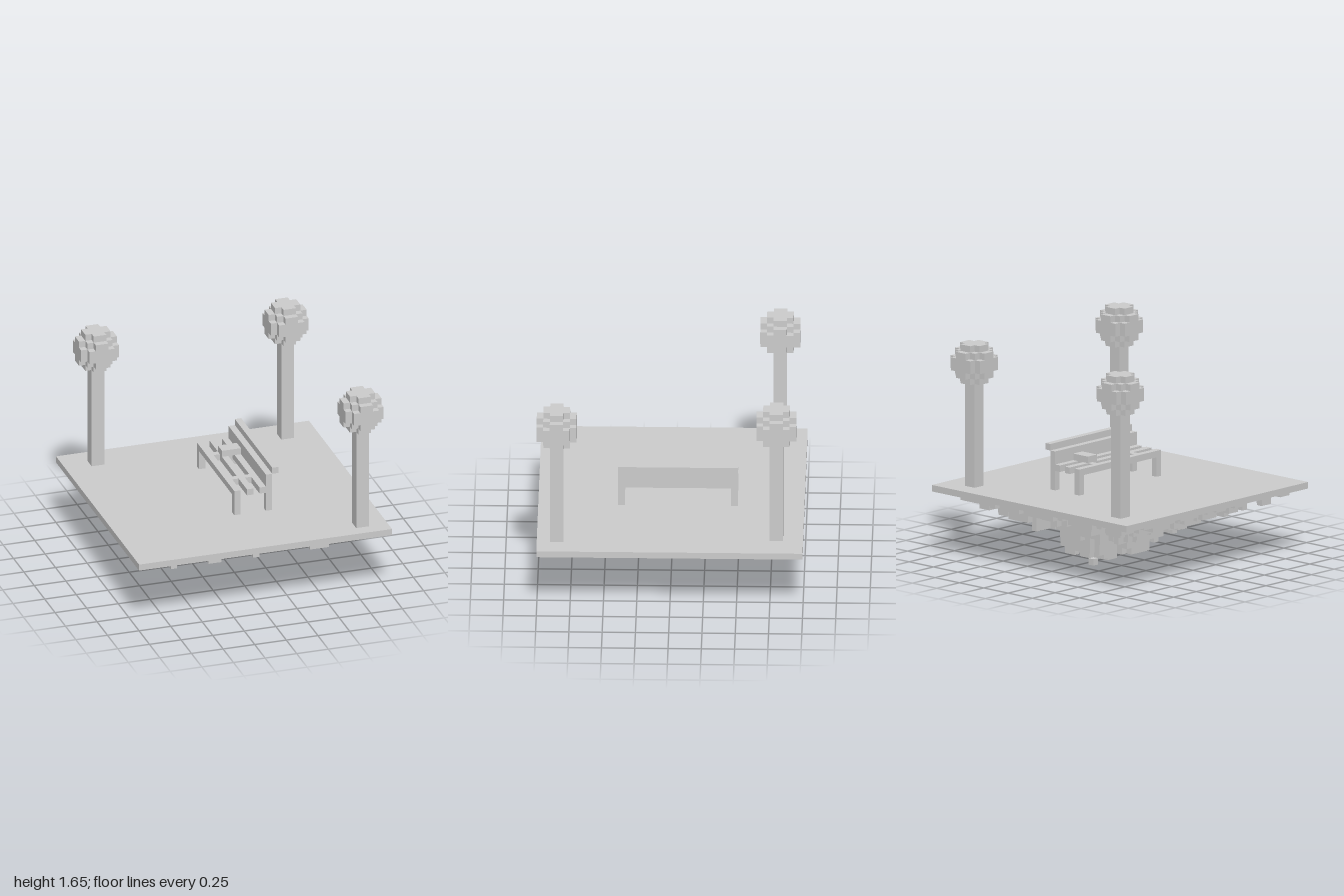
import * as THREE from 'three';

const V = 0.05; // voxel size
const stone = new THREE.MeshStandardMaterial({ color: 0xcccccc });
stone.name = 'light grey';

// Small seeded hash giving 0..1 for a grid position
function hash(a, b, c = 0) {
  let h = Math.imul(a + 101, 374761393) ^ Math.imul(b + 211, 668265263) ^ Math.imul(c + 307, 974634777);
  h = Math.imul(h ^ (h >>> 13), 1274126177);
  return ((h ^ (h >>> 16)) >>> 0) / 4294967296;
}

// Mesh of the outer faces of a set of unit cells, keyed "x,y,z"
function voxelMesh(name, cells) {
  const pos = [];
  for (const key of cells) {
    const c = key.split(',').map(Number);
    for (let axis = 0; axis < 3; axis++) {
      for (const s of [-1, 1]) {
        const next = [...c];
        next[axis] += s;
        if (cells.has(next.join(','))) continue;
        const quad = [[0, 0], [1, 0], [1, 1], [0, 1]].map(([u, v]) => {
          const p = [...c];
          p[axis] += s > 0 ? 1 : 0;
          p[(axis + 1) % 3] += u;
          p[(axis + 2) % 3] += v;
          return p.map(n => n * V);
        });
        if (s < 0) quad.reverse();
        for (const i of [0, 1, 2, 0, 2, 3]) pos.push(...quad[i]);
      }
    }
  }
  const geo = new THREE.BufferGeometry();
  geo.setAttribute('position', new THREE.Float32BufferAttribute(pos, 3));
  geo.computeVertexNormals();
  const mesh = new THREE.Mesh(geo, stone);
  mesh.name = name;
  return mesh;
}

// Box given by its low and high limits on each axis
function box(name, x0, x1, y0, y1, z0, z1) {
  const mesh = new THREE.Mesh(new THREE.BoxGeometry(x1 - x0, y1 - y0, z1 - z0), stone);
  mesh.position.set((x0 + x1) / 2, (y0 + y1) / 2, (z0 + z1) / 2);
  mesh.name = name;
  return mesh;
}

// Lamp: square post with a voxel ball on top
function lamp(x, z) {
  const g = new THREE.Group();
  g.name = 'lamp';
  g.add(box('lampPost', -0.05, 0.05, 0.55, 1.35, -0.05, 0.05));
  const cells = new Set();
  for (let i = -3; i < 3; i++)
    for (let j = -3; j < 3; j++)
      for (let k = -3; k < 3; k++)
        if ((i + 0.5) ** 2 + (j + 0.5) ** 2 + (k + 0.5) ** 2 < 9) cells.add([i, j, k].join(','));
  const ball = voxelMesh('lampGlobe', cells);
  ball.position.y = 1.5;
  g.add(ball);
  g.position.set(x, 0, z);
  return g;
}

// Bench facing -x, with spaced slats, crossbars and a small parcel
function bench() {
  const g = new THREE.Group();
  g.name = 'bench';
  for (const x of [-0.05, 0.05, 0.15]) g.add(box('seatSlat', x, x + V, 0.7, 0.75, -0.5, 0.4));
  for (const z of [-0.3, 0.15])
    for (const x of [0, 0.1]) g.add(box('crossbar', x, x + V, 0.7, 0.75, z, z + V));
  for (const z of [-0.5, 0.35])
    for (const x of [-0.05, 0.2]) g.add(box('benchLeg', x, x + V, 0.55, 0.7, z, z + V));
  g.add(box('backrest', 0.2, 0.25, 0.7, 0.85, -0.5, 0.4));
  g.add(box('topRail', 0.25, 0.3, 0.85, 0.9, -0.5, 0.4));
  g.add(box('parcel', 0.05, 0.2, 0.75, 0.8, -0.3, -0.2));
  return g;
}

// Ragged rock under the slab: shrinking layers with clumpy, eroded edges
function underside() {
  // x0, x1, z0, z1 of each layer in cells, from the slab downwards
  const layers = [
    [-18, 18, -19, 18], [-17, 13, -17, 17], [-14, 12, -16, 13], [-12, 8, -14, 11],
    [-10, 7, -13, 7], [-8, 3, -12, 4], [-7, 3, -12, 1], [-7, 1, -11, 0],
  ];
  const cells = new Set();
  const column = (x, z, depth) => {
    for (let k = 0; k <= depth; k++) cells.add([x, 9 - k, z].join(','));
  };
  layers.forEach(([x0, x1, z0, z1], k) => {
    const cx = (x0 + x1) / 2, cz = (z0 + z1) / 2;
    const rx = (x1 - x0) / 2, rz = (z1 - z0) / 2;
    for (let x = x0; x < x1; x++) {
      for (let z = z0; z < z1; z++) {
        if (k > 0 && !cells.has([x, 10 - k, z].join(','))) continue;
        const d = Math.max(Math.abs((x + 0.5 - cx) / rx), Math.abs((z + 0.5 - cz) / rz));
        // Brick-like clumps that shift from layer to layer
        const row = Math.floor((z + k) / 2);
        const clump = hash(Math.floor((x + k + 2 * (row & 1)) / 3), row, k);
        const noise = 0.75 * clump + 0.25 * hash(x, z, 3);
        if (d < 0.25 + 1.4 * noise) cells.add([x, 9 - k, z].join(','));
      }
    }
    // Ledges that reach the edge of the layer on each side
    [x0, x1 - 1].forEach((x, i) => {
      const z = Math.round(cz + (hash(k, i, 1) - 0.5) * rz);
      column(x, z, k);
      column(x, z - 1, k);
    });
    [z0, z1 - 1].forEach((z, i) => {
      const x = Math.round(cx + (hash(k, i, 2) - 0.5) * rx);
      column(x, z, k);
      column(x - 1, z, k);
    });
  });
  // Tip
  for (let x = -4; x < 0; x++)
    for (let z = -7; z < -5; z++) column(x, z, 8);
  cells.add('-2,0,-8');
  return voxelMesh('rockUnderside', cells);
}

export function createModel() {
  const model = new THREE.Group();
  model.name = 'floatingBenchIsland';
  model.add(box('slab', -1, 1, 0.5, 0.55, -1, 1));
  model.add(underside());
  model.add(bench());
  for (const [x, z] of [[-0.75, -0.8], [0.75, -0.8], [0.8, 0.85]]) model.add(lamp(x, z));
  return model;
}
